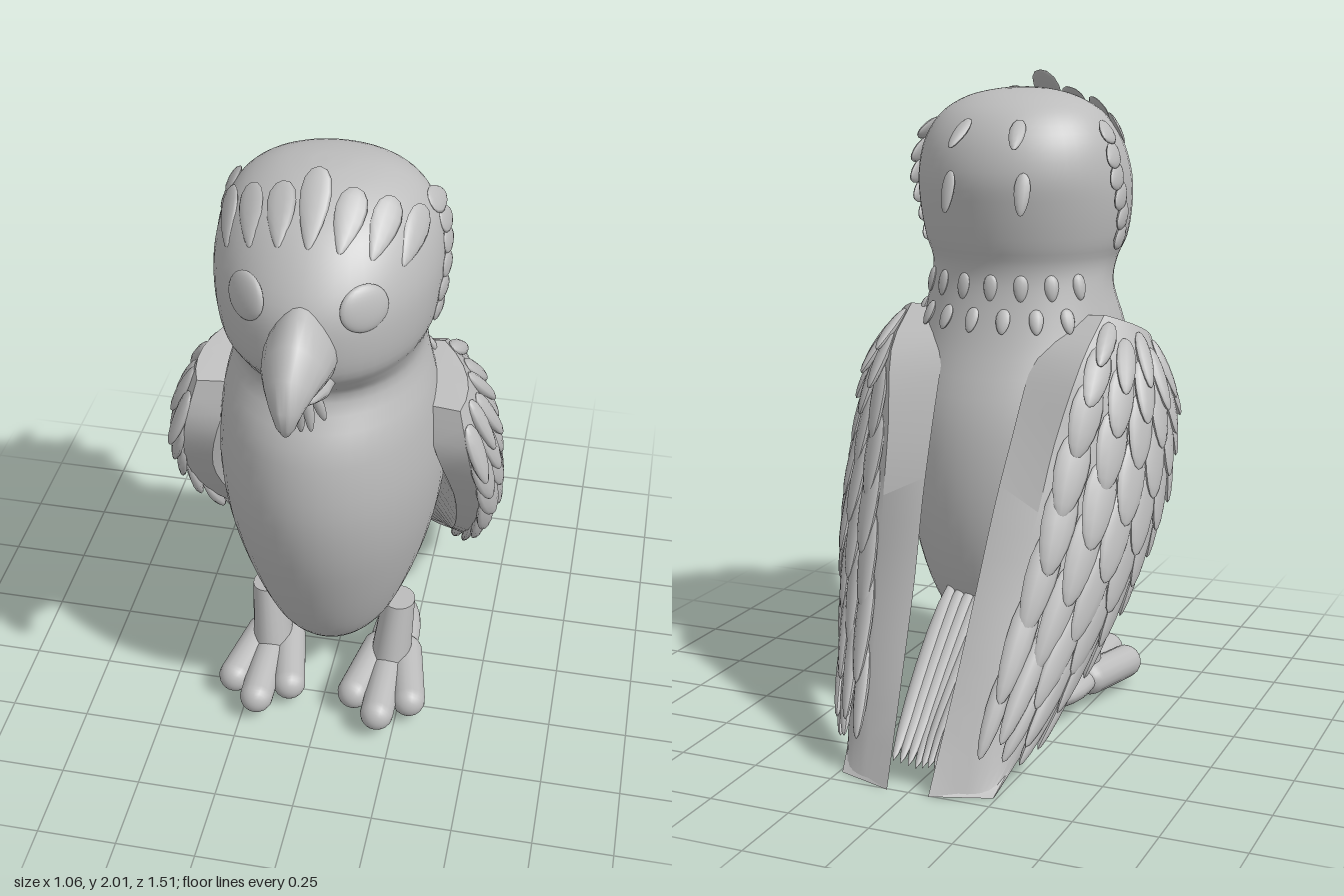
import * as THREE from 'three';
import { toCreasedNormals } from 'three/addons/utils/BufferGeometryUtils.js';

const V = (x, y, z) => new THREE.Vector3(x, y, z);
const grey = new THREE.MeshStandardMaterial({ color: 0xbcbcbc, side: THREE.DoubleSide });
grey.name = 'plumage grey';

function add(parent, geometry, name) {
  const mesh = new THREE.Mesh(geometry, grey);
  mesh.name = name;
  parent.add(mesh);
  return mesh;
}

// Closed skin over rings of equal point count, wound outward
function loft(rings, crease = 0) {
  const n = rings[0].length, pts = rings.flat(), idx = [];
  for (let i = 0; i < rings.length - 1; i++)
    for (let j = 0; j < n; j++) {
      const a = i * n + j, b = i * n + (j + 1) % n;
      idx.push(a, b, a + n, b, b + n, a + n);
    }
  [0, rings.length - 1].forEach((r, end) => {
    const c = V(0, 0, 0);
    rings[r].forEach(p => c.addScaledVector(p, 1 / n));
    const ci = pts.push(c) - 1;
    for (let j = 0; j < n; j++) {
      const a = r * n + j, b = r * n + (j + 1) % n;
      idx.push(...(end ? [a, b, ci] : [b, a, ci]));
    }
  });
  let volume = 0;
  for (let i = 0; i < idx.length; i += 3)
    volume += pts[idx[i]].dot(pts[idx[i + 1]].clone().cross(pts[idx[i + 2]]));
  if (volume < 0) idx.reverse();
  const g = new THREE.BufferGeometry().setFromPoints(pts);
  g.setIndex(idx);
  g.computeVertexNormals();
  return crease ? toCreasedNormals(g, crease) : g;
}

// Feather blade: root at the origin, tip at y = 1; taper narrows the tip
function blade(taper) {
  const g = new THREE.SphereGeometry(1, 10, 8), p = g.attributes.position;
  for (let i = 0; i < p.count; i++) {
    const t = (p.getY(i) + 1) / 2;
    p.setXYZ(i, p.getX(i) * (1 + taper * (0.5 - t)), t, p.getZ(i));
  }
  g.computeVertexNormals();
  return g;
}
const leaf = blade(0.4), paddle = blade(-0.9);

function feather(parent, name, pos, dir, normal, w, len, thick, shape = leaf) {
  const y = dir.clone().normalize();
  const x = y.clone().cross(normal).normalize();
  const z = x.clone().cross(y);
  const m = add(parent, shape, name);
  m.quaternion.setFromRotationMatrix(new THREE.Matrix4().makeBasis(x, y, z));
  m.position.copy(pos);
  m.scale.set(w, len, thick);
}

// Body and head profile: y, half width, front z, back z
const profile = [
  [0.195, 0.03, 0.12, 0.0], [0.21, 0.11, 0.19, -0.05], [0.3, 0.19, 0.29, -0.15], [0.42, 0.245, 0.37, -0.24],
  [0.6, 0.3, 0.45, -0.29], [0.8, 0.337, 0.515, -0.3], [1.0, 0.345, 0.54, -0.27], [1.2, 0.322, 0.51, -0.19],
  [1.35, 0.287, 0.43, -0.145], [1.43, 0.285, 0.485, -0.14], [1.5, 0.31, 0.54, -0.16], [1.6, 0.325, 0.555, -0.18],
  [1.7, 0.325, 0.54, -0.19], [1.8, 0.302, 0.475, -0.165], [1.88, 0.25, 0.39, -0.11], [1.93, 0.17, 0.29, -0.03],
  [1.952, 0.08, 0.21, 0.06], [1.957, 0.01, 0.16, 0.13],
];
const widthCurve = new THREE.CatmullRomCurve3(profile.map(r => V(r[0], r[1], 0)), false, 'catmullrom');
const depthCurve = new THREE.CatmullRomCurve3(profile.map(r => V(r[0], r[2], r[3])), false, 'catmullrom');

// a = 0 faces +x, PI/2 faces the front
function skin(t, a) {
  const p = widthCurve.getPoint(t), d = depthCurve.getPoint(t);
  const mid = d.z + (d.y - d.z) * 0.42;
  const s = Math.sin(a);
  return V(p.y * Math.cos(a), p.x, mid + s * (s > 0 ? d.y - mid : mid - d.z));
}

// Feather lying on the skin at height y, tip leaning along dir
function skinFeather(parent, name, y, a, dir, w, len, lift, shape) {
  let lo = 0, hi = 1;
  for (let i = 0; i < 24; i++) {
    const m = (lo + hi) / 2;
    if (widthCurve.getPoint(m).x < y) lo = m; else hi = m;
  }
  const p = skin(lo, a);
  const n = skin(lo, a + 0.02).sub(p).cross(skin(lo + 0.01, a).sub(p)).normalize();
  if (n.dot(p.clone().sub(V(0, 1.6, 0.14))) < 0) n.negate();
  const d = dir.clone().addScaledVector(n, -dir.dot(n)).normalize().addScaledVector(n, lift);
  feather(parent, name, p, d, n, w, len, 0.012, shape);
}

// Wing edges: lower front edge, upper ridge and inner back edge
const edge = pts => new THREE.CatmullRomCurve3(pts.map(p => V(...p)), false, 'catmullrom');
const lower = edge([[0.4, 1.19, 0.19], [0.44, 1.02, 0.22], [0.465, 0.81, 0.13], [0.44, 0.6, -0.01],
  [0.39, 0.4, -0.19], [0.32, 0.2, -0.43], [0.24, 0, -0.68]]);
const ridge = edge([[0.32, 1.29, -0.02], [0.31, 1.17, -0.19], [0.27, 0.95, -0.3], [0.25, 0.76, -0.38],
  [0.22, 0.55, -0.47], [0.19, 0.3, -0.59], [0.15, 0, -0.72]]);
const inner = edge([[0.2, 1.28, -0.02], [0.15, 1.17, -0.16], [0.13, 0.95, -0.29], [0.115, 0.76, -0.39],
  [0.1, 0.55, -0.48], [0.085, 0.3, -0.6], [0.065, 0, -0.755]]);

function wingSkin(u, v) {
  const p = lower.getPoint(u).lerp(ridge.getPoint(u), v);
  p.x += 0.105 * Math.sin(Math.PI * (0.14 + 0.83 * u)) * 4 * v * (1 - v);
  return p;
}

function buildWing() {
  const wing = new THREE.Group();
  const rings = [];
  for (let i = 0; i <= 18; i++) {
    const u = i / 18, ring = [];
    for (let k = 0; k <= 6; k++) ring.push(wingSkin(u, k / 6));
    ring.push(inner.getPoint(u));
    const inside = lower.getPoint(u);
    inside.x -= 0.12 * (1 - u);
    inside.z -= 0.015;
    ring.push(inside);
    rings.push(ring);
  }
  add(wing, loft(rings, 0.6), 'wingShell');
  // Overlapping feather rows, longer towards the tip
  const cols = 6;
  for (let c = 0; c < cols; c++) {
    const v = (c + 0.45) / cols;
    for (let u = c % 2 ? 0.02 : 0.06; u < 0.86; u += 0.085 + 0.08 * u) {
      const p = wingSkin(u, v);
      const along = wingSkin(u + 0.08, v).sub(p).normalize();
      const across = wingSkin(u, v + 0.05).sub(wingSkin(u, v - 0.05));
      const n = across.clone().cross(along).normalize();
      if (n.x < 0) n.negate();
      const spread = lower.getPoint(u).distanceTo(ridge.getPoint(u)) / cols;
      const len = Math.min(0.19 + 0.25 * u, (1 - u) * 1.4);
      feather(wing, 'wingFeather', p, along.addScaledVector(n, 0.08), n, Math.max(spread * 0.66, 0.025), len, 0.018);
    }
  }
  return wing;
}

// Leg, hind toe and three front toes of one foot
function buildFoot() {
  const foot = new THREE.Group();
  const top = V(0.218, 0.325, 0.09), ankle = V(0.2, 0.09, 0.125);
  const leg = add(foot, new THREE.CylinderGeometry(0.053, 0.067, top.distanceTo(ankle), 20), 'leg');
  leg.position.copy(top).lerp(ankle, 0.5);
  leg.quaternion.setFromUnitVectors(V(0, 1, 0), top.clone().sub(ankle).normalize());
  leg.scale.z = 1.3;
  const hind = add(foot, new THREE.SphereGeometry(1, 20, 12), 'hindToe');
  hind.position.set(0.2, 0.088, 0.02);
  hind.scale.set(0.08, 0.048, 0.19);
  for (const [x, y, z] of [[0.098, 0.075, 0.355], [0.2, 0.08, 0.44], [0.302, 0.075, 0.355]]) {
    const root = V(0.2 + (x - 0.2) * 0.35, 0.09, 0.04), tip = V(x, y, z);
    const length = root.distanceTo(tip), radius = 0.054;
    const toe = add(foot, new THREE.CapsuleGeometry(radius, length - 2 * radius, 8, 16), 'toe');
    toe.position.copy(root).lerp(tip, 0.5);
    toe.quaternion.setFromUnitVectors(V(0, 1, 0), tip.clone().sub(root).normalize());
  }
  return foot;
}

// Beak half from rows: top y, top z, bottom y, bottom z, half width; fuller below the middle
function beakPart(rows) {
  return loft(rows.map(([ty, tz, by, bz, w]) => Array.from({ length: 20 }, (_, i) => {
    const a = i / 20 * Math.PI * 2, k = (1 + Math.sin(a)) / 2;
    return V(w * Math.cos(a) * (1 - 0.3 * Math.sin(a)), by + (ty - by) * k, bz + (tz - bz) * k);
  })), 0.9);
}

export function createModel() {
  const bird = new THREE.Group();
  bird.name = 'bird';

  const rings = [];
  for (let i = 0; i <= 60; i++)
    rings.push(Array.from({ length: 48 }, (_, j) => skin(i / 60, j / 48 * Math.PI * 2)));
  add(bird, loft(rings), 'bodyAndHead');

  add(bird, beakPart([[1.73, 0.5, 1.48, 0.5, 0.096], [1.72, 0.57, 1.49, 0.55, 0.097], [1.685, 0.65, 1.51, 0.61, 0.087],
    [1.62, 0.72, 1.52, 0.66, 0.066], [1.54, 0.76, 1.51, 0.695, 0.043], [1.48, 0.757, 1.475, 0.712, 0.026],
    [1.45, 0.738, 1.455, 0.728, 0.01]]), 'upperBeak');
  add(bird, beakPart([[1.56, 0.48, 1.43, 0.48, 0.088], [1.55, 0.58, 1.445, 0.56, 0.082],
    [1.53, 0.64, 1.475, 0.62, 0.06], [1.52, 0.69, 1.505, 0.685, 0.02]]), 'lowerBeak');

  // Beard under the beak
  for (let i = -2; i <= 2; i++)
    feather(bird, 'beardFeather', V(i * 0.018, 1.47, 0.565 - Math.abs(i) * 0.01),
      V(i * 0.012, -0.14 + Math.abs(i) * 0.02, -0.02 + (i % 2) * 0.02), V(0, 0, 1), 0.016, 0.15 - Math.abs(i) * 0.015, 0.014);

  // Forehead crest swept backward
  for (let i = -3; i <= 3; i++) {
    const k = Math.abs(i);
    skinFeather(bird, 'crestFeather', 1.845 - 0.008 * k * k, Math.PI / 2 - i * 0.3, V(i * 0.08, 0.6, -1),
      0.04, k ? 0.2 : 0.235, k ? -0.1 : 0.02, paddle);
  }

  // Sparse feathers around the nape
  for (let i = -3; i <= 3; i++)
    for (const row of [0, 1])
      skinFeather(bird, 'napeFeather', 1.41 - row * 0.1, -Math.PI / 2 + (i + row * 0.5) * 0.33, V(0, -1, 0), 0.022, 0.08, 0.2);

  // Tail feathers drawn together between the wing tips
  for (let i = -3; i <= 3; i++)
    feather(bird, 'tailFeather', V(i * 0.034, 0.46, -0.2), V(i * -0.012, -0.41 + Math.abs(i) * 0.01, -0.5),
      V(0, 0.77, -0.63), 0.03, 0.645, 0.022);

  // Paired parts
  for (const side of [1, -1]) {
    const half = new THREE.Group();
    half.name = side > 0 ? 'leftSide' : 'rightSide';
    half.scale.x = side;
    const wing = buildWing(), foot = buildFoot();
    wing.name = 'wing';
    foot.name = 'foot';
    half.add(wing, foot);

    // Eye: shallow dome set flush in the face
    const eye = add(half, new THREE.SphereGeometry(1, 24, 16), 'eye');
    eye.position.set(0.162, 1.71, 0.475);
    eye.quaternion.setFromUnitVectors(V(0, 0, 1), V(0.66, 0.2, 0.73).normalize());
    eye.scale.set(0.076, 0.068, 0.022);

    // Cheek feathers edging the face, and a few on the back of the head
    for (let i = 0; i < 6; i++)
      skinFeather(half, 'cheekFeather', 1.84 - i * 0.062, 0.06 - 0.06 * Math.sin(i), V(0, -0.35, -1), 0.04, 0.12, 0);
    for (const [y, a] of [[1.87, -1.25], [1.72, -1.2]])
      skinFeather(half, 'headFeather', y, a, V(0, -1, -0.2), 0.024, 0.13, 0.12);
    bird.add(half);
  }
  return bird;
}
